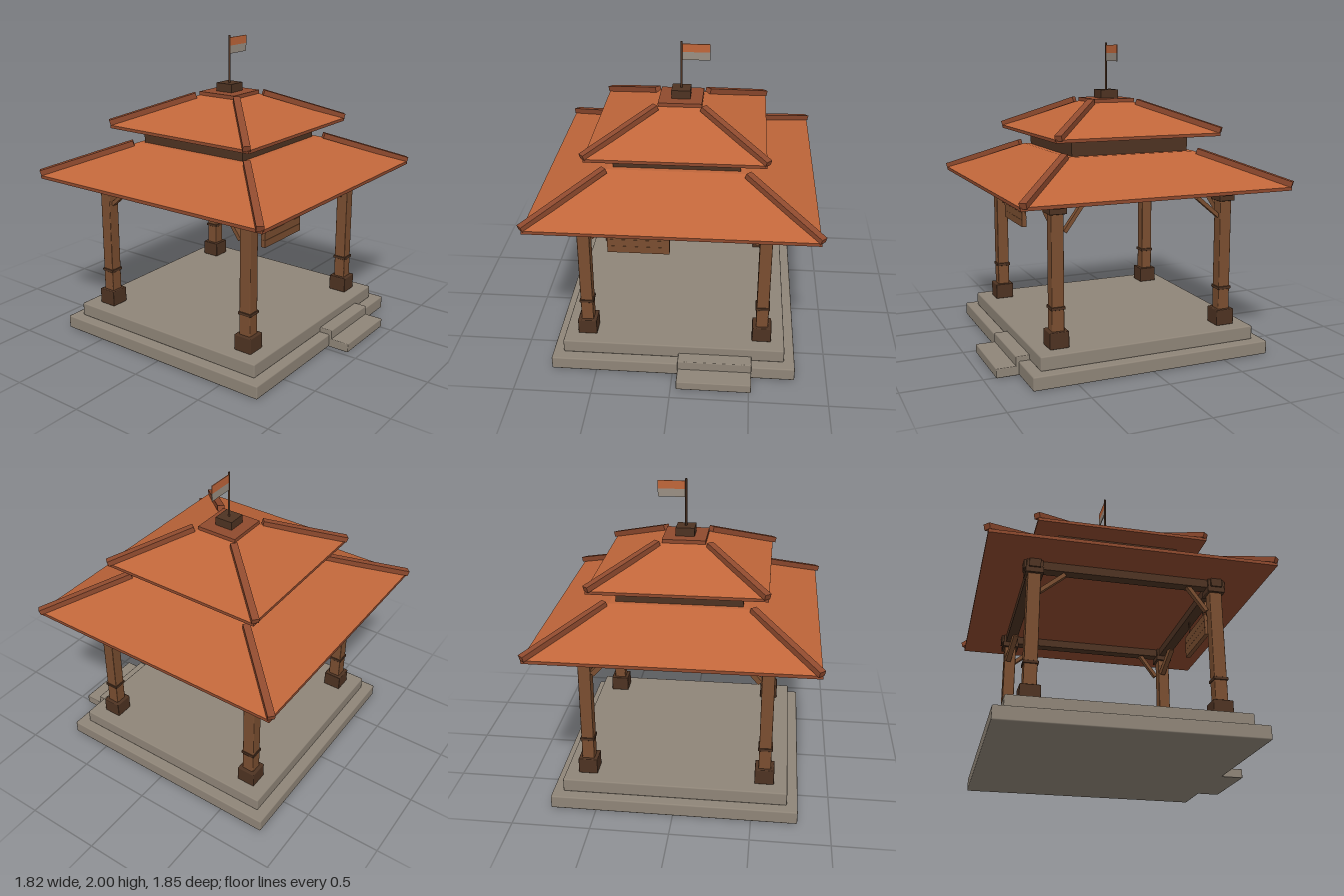
import * as THREE from 'three';
import { RoundedBoxGeometry } from 'three/addons/geometries/RoundedBoxGeometry.js';

const material = (name, color) => {
  const m = new THREE.MeshStandardMaterial({ color });
  m.name = name;
  return m;
};

export function createModel() {
  const stone = material('stone', 0x8f8578);
  const roofTile = material('roofTile', 0xc0663a);
  const trim = material('roofTrim', 0x8f4a2e);
  const wood = material('wood', 0x7a4e30);
  const darkWood = material('darkWood', 0x4e3322);
  const paleCloth = material('paleCloth', 0x9a8f84);

  const model = new THREE.Group();
  model.name = 'pavilion';
  const body = new THREE.Group();
  body.name = 'body';
  body.position.z = -0.017;
  model.add(body);

  const add = (name, geometry, mat, parent = body) => {
    const mesh = new THREE.Mesh(geometry, mat);
    mesh.name = name;
    parent.add(mesh);
    return mesh;
  };

  // Box from x, z centre and a y range; a bevel rounds its edges
  const box = (name, mat, [x, z], [y0, y1], [w, d], bevel = 0, parent = body) => {
    const h = y1 - y0;
    const geometry = bevel ? new RoundedBoxGeometry(w, h, d, 1, bevel) : new THREE.BoxGeometry(w, h, d);
    const mesh = add(name, geometry, mat, parent);
    mesh.position.set(x, (y0 + y1) / 2, z);
    return mesh;
  };

  // Straight timber between two points
  const timber = (name, mat, a, b, w, h, parent = body) => {
    const from = new THREE.Vector3(...a), to = new THREE.Vector3(...b);
    const mesh = add(name, new THREE.BoxGeometry(w, h, from.distanceTo(to)), mat, parent);
    mesh.position.copy(from).add(to).multiplyScalar(0.5);
    mesh.lookAt(to);
    return mesh;
  };

  // Stone platform and steps
  box('lowerPlatform', stone, [0, 0], [0, 0.088], [1.59, 1.594], 0.009);
  box('upperPlatform', stone, [0, 0], [0.086, 0.177], [1.45, 1.455], 0.009);
  box('lowerStep', stone, [0.275, 0.8], [0, 0.06], [0.48, 0.278], 0.006);
  box('upperStep', stone, [0.275, 0.745], [0.045, 0.12], [0.48, 0.138], 0.006);

  // Four columns with braces
  const c = 0.575;
  for (const sx of [-1, 1]) {
    for (const sz of [-1, 1]) {
      const column = new THREE.Group();
      column.name = 'column';
      body.add(column);
      const at = [sx * c, sz * c];
      box('columnBase', darkWood, at, [0.175, 0.28], [0.125, 0.125], 0.006, column);
      box('post', wood, at, [0.27, 1.01], [0.08, 0.08], 0.006, column);
      box('columnBand', darkWood, at, [0.412, 0.432], [0.093, 0.093], 0.004, column);
      box('capital', darkWood, at, [0.998, 1.036], [0.112, 0.112], 0.005, column);
      box('capitalBlock', darkWood, at, [1.032, 1.086], [0.1, 0.1], 0, column);
      timber('braceAcross', wood, [sx * 0.53, 0.89, sz * c], [sx * 0.39, 1.035, sz * c], 0.035, 0.035, column);
      timber('braceAlong', wood, [sx * c, 0.89, sz * 0.53], [sx * c, 1.035, sz * 0.39], 0.035, 0.025, column);
    }
  }

  // Crossing beams
  for (const s of [-1, 1]) {
    box('beamAcross', darkWood, [0, s * c], [1.033, 1.086], [1.28, 0.07]);
    box('beamAlong', darkWood, [s * c, 0], [1.033, 1.086], [0.07, 1.28]);
  }

  // Roof tier: eave slab, four slopes and hip ridges
  const roofTier = (name, eave, top, y0, y1, slab) => {
    const tier = new THREE.Group();
    tier.name = name;
    body.add(tier);
    box('eaveSlab', trim, [0, 0], [y0 - slab, y0], [eave * 2, eave * 2], 0, tier);
    const slopes = new THREE.CylinderGeometry(top * Math.SQRT2, eave * Math.SQRT2, y1 - y0, 4)
      .rotateY(Math.PI / 4).toNonIndexed();
    slopes.computeVertexNormals();
    add('slopes', slopes, roofTile, tier).position.y = (y0 + y1) / 2;
    for (const sx of [-1, 1]) {
      for (const sz of [-1, 1]) {
        timber('hipRidge', trim, [sx * eave, y0 + 0.013, sz * eave],
          [sx * (top + 0.018), y1 + 0.006, sz * (top + 0.018)], 0.045, 0.036, tier);
      }
    }
  };
  roofTier('lowerRoof', 0.885, 0.435, 1.107, 1.307, 0.021);
  box('neck', darkWood, [0, 0], [1.3, 1.412], [0.8, 0.8]);
  roofTier('upperRoof', 0.557, 0.14, 1.43, 1.614, 0.02);
  box('roofCap', trim, [0, 0], [1.61, 1.638], [0.28, 0.28]);
  box('finialBlock', darkWood, [0, 0], [1.636, 1.693], [0.122, 0.122]);

  // Pole and two-coloured flag
  const pole = add('flagPole', new THREE.CylinderGeometry(0.007, 0.007, 0.32, 8), darkWood);
  pole.position.y = 1.84;
  box('flagUpperBand', roofTile, [0.094, 0], [1.932, 1.985], [0.176, 0.006]);
  box('flagLowerBand', paleCloth, [0.094, 0], [1.88, 1.932], [0.176, 0.006]);

  // Hanging plank sign under the front beam
  const sign = new THREE.Group();
  sign.name = 'hangingSign';
  body.add(sign);
  for (let i = 0; i < 3; i++) {
    const y = 0.796 + i * 0.048;
    box('signPlank', wood, [-0.228, c], [y, y + 0.047], [0.395, 0.03], 0, sign);
  }
  for (const x of [-0.368, -0.088]) {
    box('signHanger', darkWood, [x, c], [0.935, 1.036], [0.008, 0.008], 0, sign);
  }
  return model;
}
